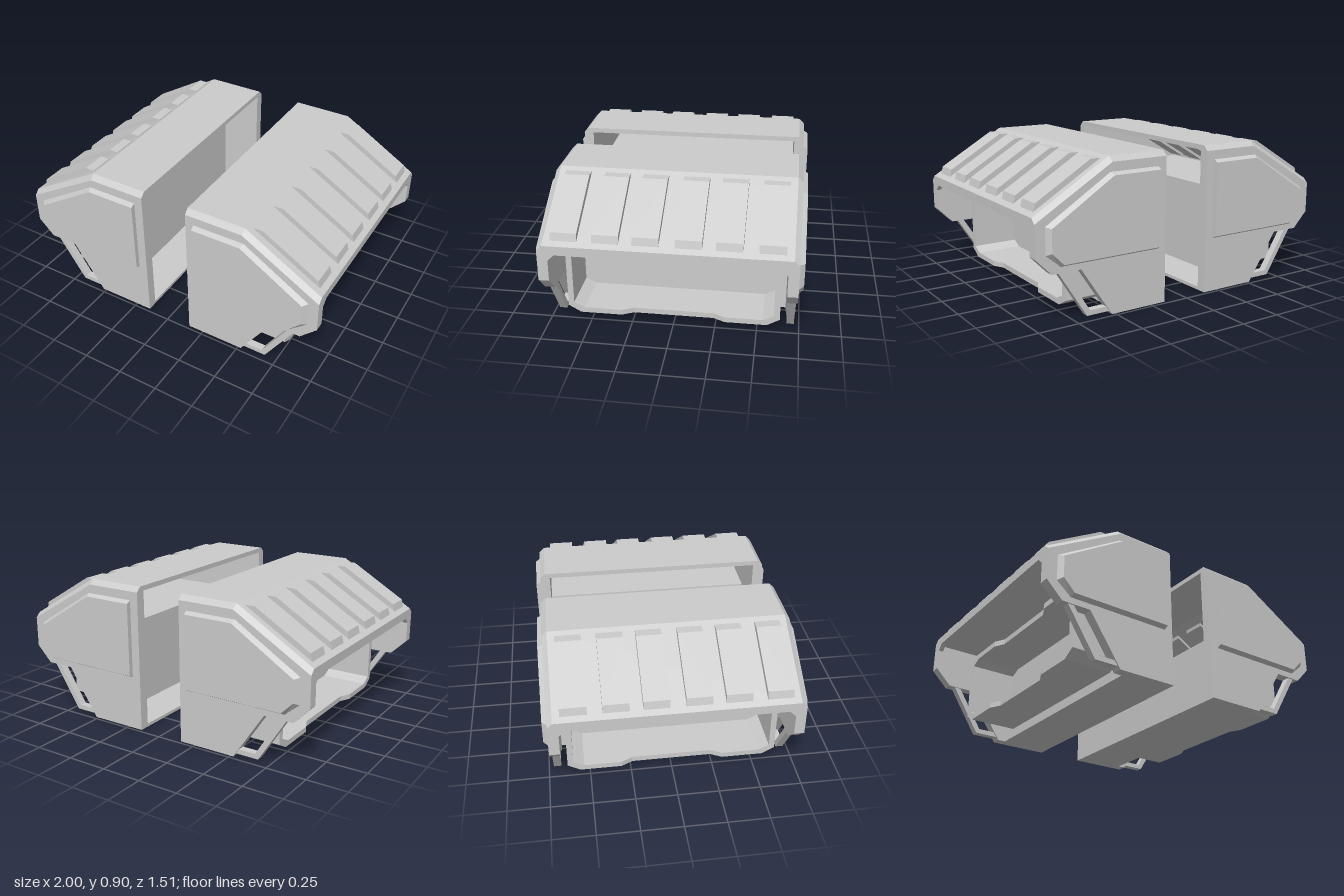
import * as THREE from 'three';

const material = new THREE.MeshStandardMaterial({ color: 0xcccccc, flatShading: true });

// Skins a series of equal-length 3D loops and closes both ends.
// capPlane gives the two coordinate indices in which the ends are flat.
function loft(loops, capPlane) {
  const n = loops[0].length;
  const tris = [];
  for (let i = 0; i + 1 < loops.length; i++) {
    for (let j = 0; j < n; j++) {
      const k = (j + 1) % n;
      const a = loops[i][j], b = loops[i][k], c = loops[i + 1][k], d = loops[i + 1][j];
      tris.push([a, b, c], [a, c, d]);
    }
  }
  // End faces
  [loops[0], loops[loops.length - 1]].forEach((loop, end) => {
    const flat = loop.map(p => new THREE.Vector2(p[capPlane[0]], p[capPlane[1]]));
    const ccw = !THREE.ShapeUtils.isClockWise(flat);
    for (const f of THREE.ShapeUtils.triangulateShape(flat, [])) {
      const t = f.map(i => loop[i]);
      const [p, q, r] = f.map(i => flat[i]);
      const area = (q.x - p.x) * (r.y - p.y) - (q.y - p.y) * (r.x - p.x);
      const along = (area > 0) === ccw;
      tris.push(along === (end === 1) ? t : [t[0], t[2], t[1]]);
    }
  });
  // Turn the skin outward if it came out inside out
  let volume = 0;
  for (const [a, b, c] of tris) {
    volume += a[0] * (b[1] * c[2] - b[2] * c[1])
      - a[1] * (b[0] * c[2] - b[2] * c[0])
      + a[2] * (b[0] * c[1] - b[1] * c[0]);
  }
  if (volume < 0) tris.forEach(t => t.reverse());
  const geo = new THREE.BufferGeometry();
  geo.setAttribute('position', new THREE.Float32BufferAttribute(tris.flat(2), 3));
  return geo;
}

const atZ = (pts, z) => pts.map(([x, y]) => [x, y, z]);
const prism = (pts, z0, z1) => loft([atZ(pts, z0), atZ(pts, z1)], [0, 1]);

// Mirrored copy with the corner order restored
function mirrored(geo, sx, sz) {
  const g = geo.clone().scale(sx, 1, sz);
  if (sx * sz < 0) {
    const p = g.attributes.position;
    for (let i = 0; i < p.count; i += 3) {
      const b = [p.getX(i + 1), p.getY(i + 1), p.getZ(i + 1)];
      p.setXYZ(i + 1, p.getX(i + 2), p.getY(i + 2), p.getZ(i + 2));
      p.setXYZ(i + 2, ...b);
    }
  }
  g.computeVertexNormals();
  return g;
}

// Octagonal loop of the tray; depth(z) gives x at each corner
function trayLoop(hz, cz, y0, y0c, y1c, y1, depth) {
  const half = [[cz, y0], [hz, y0c], [hz, y1c], [cz, y1]];
  const bottom = [-0.31, -0.24, 0.24, 0.31].map(z => [z, y0]);
  const top = [0.31, 0.24, -0.24, -0.31].map(z => [z, y1]);
  const left = half.slice().reverse().map(([z, y]) => [-z, y]);
  return [...bottom, ...half, ...top, ...left].map(([z, y]) => [depth(z), y, z]);
}

export function createModel() {
  const model = new THREE.Group();
  model.name = 'pairedPods';
  const pods = [1, -1].map(s => {
    const g = new THREE.Group();
    g.name = s > 0 ? 'leftPod' : 'rightPod';
    model.add(g);
    return { s, g };
  });

  // Adds a part to both pods, and to both ends when asked
  function add(name, geo, bothEnds = false) {
    for (const { s, g } of pods) {
      for (const e of bothEnds ? [1, -1] : [1]) {
        const mesh = new THREE.Mesh(mirrored(geo, s, e), material);
        mesh.name = bothEnds ? (e > 0 ? 'front' : 'back') + name : name;
        g.add(mesh);
      }
    }
  }

  // End walls, bevelled along the roof edge
  const inZ = 0.667;
  const lower = [[0.15, 0], [0.52, 0], [0.72, 0.3], [0.9, 0.3], [1, 0.4]];
  const wall = [...lower, [1, 0.62], [0.52, 0.905], [0.15, 0.905]];
  const wallFace = [...lower, [1, 0.59], [0.515, 0.875], [0.15, 0.875]];
  add('EndWall', loft([atZ(wall, inZ), atZ(wall, 0.697), atZ(wallFace, 0.728)], [0, 1]), true);

  // Raised end panels
  const panel = [[0.205, 0.335], [0.85, 0.335], [0.94, 0.41], [0.94, 0.57], [0.53, 0.822], [0.205, 0.822]];
  const panelFace = [[0.205, 0.352], [0.84, 0.352], [0.912, 0.425], [0.912, 0.56], [0.52, 0.805], [0.205, 0.805]];
  add('EndPanel', loft([atZ(panel, 0.725), atZ(panelFace, 0.757)], [0, 1]), true);

  // Slim brackets below the end walls
  add('Bracket', prism([[0.86, 0.302], [0.82, 0.302], [0.66, 0.05], [0.553, 0.05],
    [0.533, 0.02], [0.68, 0.02]], 0.675, 0.72), true);

  // Roof shell with a short outer lip
  add('roof', prism([[0.15, 0.905], [0.52, 0.905], [1, 0.62], [1, 0.565], [0.97, 0.565],
    [0.97, 0.602], [0.51, 0.875], [0.15, 0.875]], -inZ, inZ));

  // Corner gussets where the lip meets the end walls
  const gusset = [[0.565, 0.63], [0.565, 0.67], [0.525, 0.67]];
  add('LipGusset', loft([0.97, 1].map(x => gusset.map(([y, z]) => [x, y, z])), [1, 2]), true);

  // Ribs set through the sloping roof
  const rib = [[0.55, 0.89], [0.61, 0.89], [0.955, 0.685], [0.968, 0.637], [0.93, 0.605], [0.56, 0.825]];
  for (const z of [0.58, 0.345, 0.12]) add('RoofRib', prism(rib, z - 0.075, z + 0.075), true);

  // Stepped body: floor, upright wall and the shelf under the roof
  add('body', prism([[0.15, 0], [0.47, 0], [0.47, 0.565], [0.975, 0.565], [0.975, 0.585],
    [0.41, 0.585], [0.41, 0.02], [0.15, 0.02]], -inZ, inZ));

  // Hollow tray on the body wall, its rim set back slightly in the middle
  const rim = z => (Math.abs(z) < 0.3 ? 0.735 : 0.77);
  const outer = d => trayLoop(0.635, 0.56, 0.057, 0.1, 0.475, 0.515, d);
  const inner = d => trayLoop(0.6, 0.535, 0.09, 0.122, 0.45, 0.48, d);
  add('tray', loft([outer(() => 0.46), outer(rim), inner(rim), inner(() => 0.475)], [1, 2]));

  return model;
}
